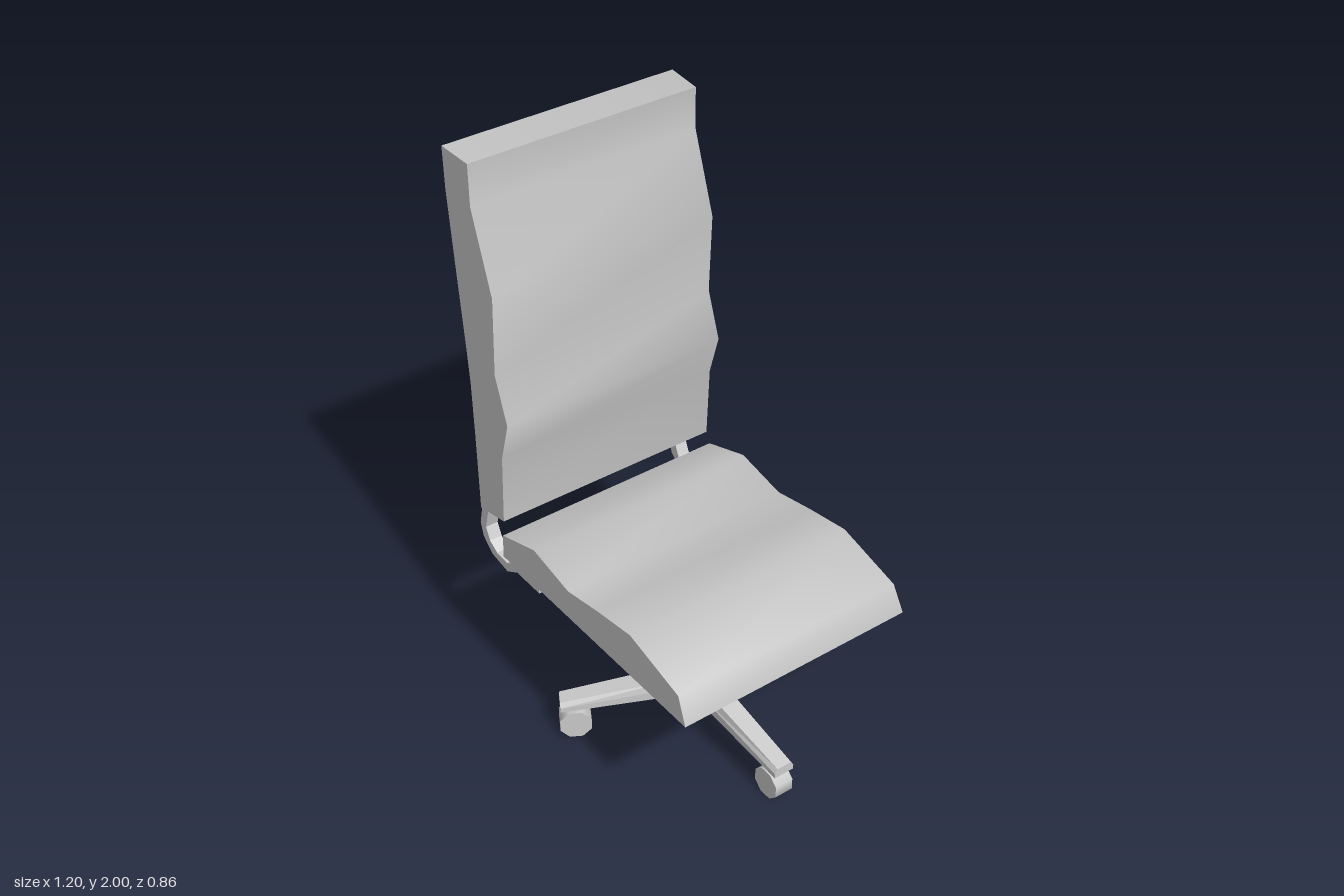
import * as THREE from 'three';

const material = new THREE.MeshStandardMaterial({ color: 0xcccccc });
const lerp = THREE.MathUtils.lerp;

function addMesh(parent, name, geometry) {
  const mesh = new THREE.Mesh(geometry, material);
  mesh.name = name;
  parent.add(mesh);
  return mesh;
}

// Surface between two point rows; padded ones get soft normals leaning outward in z
function ruled(a, b, padded = false) {
  const positions = [], index = [];
  a.forEach((p, i) => {
    positions.push(...p, ...b[i]);
    if (i > 0) {
      const k = 2 * i - 2;
      index.push(k, k + 1, k + 3, k, k + 3, k + 2);
    }
  });
  let g = new THREE.BufferGeometry();
  g.setAttribute('position', new THREE.Float32BufferAttribute(positions, 3));
  g.setIndex(index);
  if (!padded) g = g.toNonIndexed();
  g.computeVertexNormals();
  if (padded) {
    const n = g.attributes.normal, v = new THREE.Vector3();
    for (let i = 0; i < n.count; i++) {
      v.fromBufferAttribute(n, i);
      v.z += 0.55 * Math.sign(g.attributes.position.getZ(i));
      v.normalize();
      n.setXYZ(i, v.x, v.y, v.z);
    }
  }
  return g;
}

const at = (row, z) => row.map(([x, y]) => [x, y, z]);

// Seat cushion: wavy padded top, flat sides and underside
function makeSeat() {
  const seat = new THREE.Group();
  seat.name = 'seat';
  const top = [[-0.385, 0.69], [-0.2, 0.75], [-0.01, 0.71], [0.15, 0.74],
    [0.32, 0.765], [0.56, 0.7], [0.595, 0.6]];
  const base = top.map(([x], i) => [i ? x : -0.39, 0.6]);
  const topR = at(top, -0.415), topL = at(top, 0.425);
  topR[6][2] = -0.43;
  const baseR = at(base, -0.43), baseL = at(base, 0.425);
  addMesh(seat, 'seatPadding', ruled(topR, topL, true));
  addMesh(seat, 'seatUnderside', ruled(baseL, baseR));
  addMesh(seat, 'seatSideLeft', ruled(topL, baseL));
  addMesh(seat, 'seatSideRight', ruled(baseR, topR));
  addMesh(seat, 'seatRearEdge', ruled([baseR[0], topR[0]], [baseL[0], topL[0]]));
  return seat;
}

// Backrest: padded front, rear frame around a recessed panel open at the bottom
function makeBackrest() {
  const back = new THREE.Group();
  back.name = 'backrest';
  const front = [[-0.39, 0.74], [-0.375, 1.0], [-0.33, 1.15], [-0.385, 1.31],
    [-0.37, 1.59], [-0.46, 1.86], [-0.46, 2.0]];
  const rear = [[-0.53, 0.71], [-0.532, 1.0], [-0.536, 1.2], [-0.545, 1.31],
    [-0.572, 1.59], [-0.597, 1.86], [-0.6, 2.0]];
  const opening = rear.slice(0, 6);
  const panel = opening.map(([x, y], i) => [x + 0.06, i ? y : 0.723]);
  const zL = 0.415, zR = -0.42, zFrontR = -0.405, inner = 0.355;
  const frontL = at(front, zL), frontR = at(front, zFrontR);
  const rearL = at(rear, zL), rearR = at(rear, zR);

  addMesh(back, 'backrestPadding', ruled(frontL, frontR, true));
  addMesh(back, 'backrestTop', ruled([frontR[6], frontL[6]], [rearR[6], rearL[6]], true));
  addMesh(back, 'backrestSideLeft', ruled(rearL, frontL));
  addMesh(back, 'backrestSideRight', ruled(frontR, rearR));

  // rear frame
  addMesh(back, 'frameRight', ruled(at(opening, zR), at(opening, -inner)));
  addMesh(back, 'frameLeft', ruled(at(opening, inner), at(opening, zL)));
  addMesh(back, 'frameTop', ruled(rearR.slice(5), rearL.slice(5)));

  // recess
  addMesh(back, 'rearPanel', ruled(at(panel, -inner), at(panel, inner)));
  addMesh(back, 'recessWallLeft', ruled(at(panel, inner), at(opening, inner)));
  addMesh(back, 'recessWallRight', ruled(at(opening, -inner), at(panel, -inner)));
  const across = ([x, y], z0, z1) => [[x, y, z0], [x, y, z1]];
  addMesh(back, 'recessCeiling',
    ruled(across(opening[5], -inner, inner), across(panel[5], -inner, inner)));

  // bottom edge
  addMesh(back, 'backrestBottom', ruled(across(panel[0], zR, zL), [frontR[0], frontL[0]]));
  for (const [z0, z1] of [[zR, -inner], [inner, zL]]) {
    addMesh(back, 'frameBottom', ruled(across(rear[0], z0, z1), across(panel[0], z0, z1)));
  }
  return back;
}

// Curved flat bar joining seat and backrest
function makeBracket(z) {
  const outline = [[-0.2, 0.565], [-0.2, 0.6], [-0.34, 0.597], [-0.39, 0.565], [-0.45, 0.57],
    [-0.49, 0.595], [-0.51, 0.64], [-0.488, 0.722], [-0.525, 0.716], [-0.543, 0.64],
    [-0.53, 0.59], [-0.48, 0.545], [-0.39, 0.53], [-0.33, 0.565]];
  const shape = new THREE.Shape(outline.map(([x, y]) => new THREE.Vector2(x, y)));
  const g = new THREE.ExtrudeGeometry(shape, { depth: 0.045, bevelEnabled: false });
  return g.translate(0, 0, z - 0.0225);
}

// Tapered leg with a bevelled upper half
function makeLegGeometry() {
  const box = new THREE.BoxGeometry(1, 1, 1, 1, 2, 1);
  const p = box.attributes.position;
  for (let i = 0; i < p.count; i++) {
    const t = p.getX(i) + 0.5, h = p.getY(i) + 0.5;
    const width = h > 0.75 ? lerp(0.07, 0.055, t) : lerp(0.085, 0.075, t);
    p.setXYZ(i, lerp(0.05, 0.46, t),
      lerp(lerp(0.16, 0.12, t), lerp(0.23, 0.155, t), h), p.getZ(i) * width);
  }
  const g = box.toNonIndexed();
  g.computeVertexNormals();
  return g;
}

export function createModel() {
  const chair = new THREE.Group();
  chair.name = 'officeChair';
  chair.add(makeSeat(), makeBackrest());
  addMesh(chair, 'bracketLeft', makeBracket(0.391));
  addMesh(chair, 'bracketRight', makeBracket(-0.383));

  // Pedestal: column with three legs on casters
  const pedestal = new THREE.Group();
  pedestal.name = 'pedestal';
  pedestal.position.set(0.1, 0, 0.003);
  chair.add(pedestal);
  addMesh(pedestal, 'column',
    new THREE.CylinderGeometry(0.084, 0.084, 0.47, 16).translate(0, 0.367, 0));

  const legGeometry = makeLegGeometry();
  const stemGeometry = new THREE.CylinderGeometry(0.02, 0.02, 0.05, 8);
  const wheelGeometry = new THREE.CylinderGeometry(0.057, 0.057, 0.068, 8)
    .rotateY(Math.PI / 8).rotateX(Math.PI / 2);
  for (let i = 0; i < 3; i++) {
    const leg = new THREE.Group();
    leg.name = 'legWithCaster';
    leg.rotation.y = i * Math.PI * 2 / 3;
    addMesh(leg, 'leg', legGeometry);
    addMesh(leg, 'casterStem', stemGeometry).position.set(0.41, 0.11, 0);
    addMesh(leg, 'casterWheel', wheelGeometry).position.set(0.41, 0.055, 0);
    pedestal.add(leg);
  }
  return chair;
}
